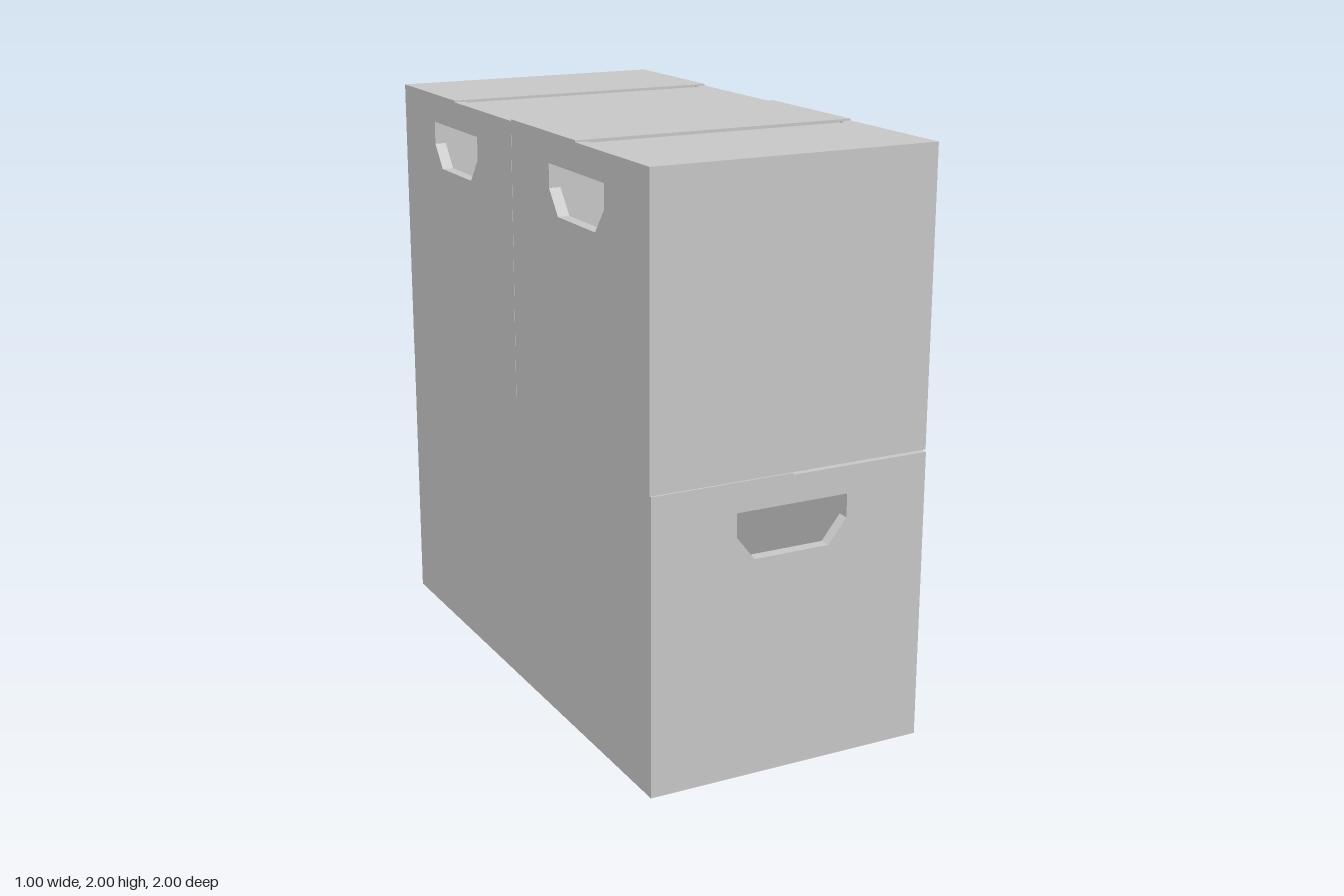
import * as THREE from 'three';

const T = 0.04; // board thickness
const material = new THREE.MeshStandardMaterial({ color: 0xcccccc, flatShading: true });

function add(group, name, geometry, x, y, z) {
  const mesh = new THREE.Mesh(geometry, material);
  mesh.name = name;
  mesh.position.set(x, y, z);
  group.add(mesh);
  return mesh;
}

const polygon = (points) => points.map(([x, y]) => new THREE.Vector2(x, y));
const slab = (shape) => new THREE.ExtrudeGeometry(shape, { depth: T, bevelEnabled: false });

// Closed carton; the handle walls are at +-x, the top flaps meet along x
function makeCarton(name, length, width, height) {
  const carton = new THREE.Group();
  carton.name = name;
  const L = length / 2, W = width / 2, wallTop = height - T;
  const inner = length - 2 * T;

  add(carton, 'bottomPanel', new THREE.BoxGeometry(inner, T, width - 2 * T), 0, T / 2, 0);

  // End walls with a cut-out handle
  const wall = new THREE.Shape(polygon([[-W, 0], [W, 0], [W, wallTop], [-W, wallTop]]));
  wall.holes.push(new THREE.Path(polygon([
    [-0.2, 0.9], [-0.2, 0.82], [-0.135, 0.738], [0.135, 0.738], [0.2, 0.82], [0.2, 0.9],
  ])));
  for (const side of [-1, 1]) {
    const end = add(carton, 'handleWall', slab(wall), side * (L - T), 0, 0);
    end.rotation.y = side * Math.PI / 2;

    // Plain wall
    add(carton, 'plainWall', new THREE.BoxGeometry(inner, wallTop, T),
      0, wallTop / 2, side * (W - T / 2));

    // Inner flap, leaving a narrow gap at the middle
    const reach = Math.min(L - T - 0.015, 0.46);
    add(carton, 'innerFlap', new THREE.BoxGeometry(reach, T, width - 2 * T),
      side * (L - T - reach / 2), wallTop - T / 2, 0);
  }

  // Outer flaps: the back one sits a touch higher, the front one has a slot at the joint
  add(carton, 'backFlap', new THREE.BoxGeometry(length, T, W), 0, height - T / 2, -W / 2);
  const front = new THREE.Shape(polygon([
    [-L, -W], [L, -W], [L, 0], [L - T, 0], [L - T, -0.025],
    [T - L, -0.025], [T - L, 0], [-L, 0],
  ]));
  const flap = add(carton, 'frontFlap', slab(front), 0, height - T - 0.006, 0);
  flap.rotation.x = -Math.PI / 2;
  return carton;
}

export function createModel() {
  const model = new THREE.Group();
  model.name = 'stackedCartons';

  // Long carton below, handles at front and back
  const lower = makeCarton('lowerCarton', 2, 0.994, 1);
  lower.rotation.y = Math.PI / 2;
  model.add(lower);

  // Two cartons side by side on top, handles at left and right
  for (const z of [-0.497, 0.497]) {
    const upper = makeCarton('upperCarton', 1, 0.992, 1);
    upper.position.set(0, 1, z);
    model.add(upper);
  }
  return model;
}
